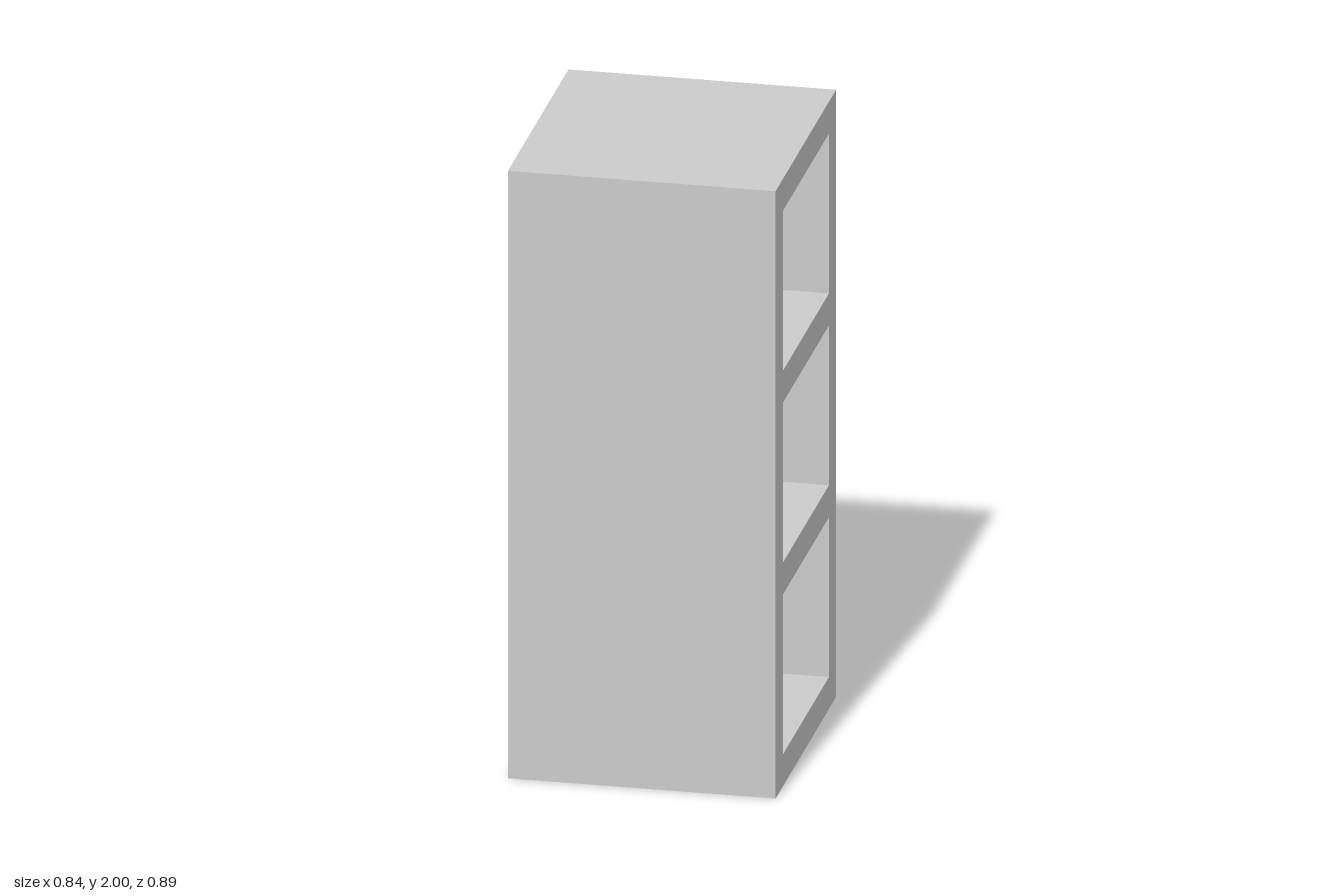
import * as THREE from 'three';

// Upright shelf unit, open from side to side through three equal bays
const HEIGHT = 2, WIDTH = 0.842, DEPTH = 0.895;
const BOARD = 0.1053; // thickness of every panel and shelf
const BAYS = 3;

function rectangle(PathType, x0, y0, x1, y1) {
  return new PathType([
    new THREE.Vector2(x0, y0), new THREE.Vector2(x1, y0),
    new THREE.Vector2(x1, y1), new THREE.Vector2(x0, y1),
  ]);
}

export function createModel() {
  const group = new THREE.Group();
  group.name = 'shelfUnit';

  // Outer outline with one hole per bay
  const outline = rectangle(THREE.Shape, -DEPTH / 2, 0, DEPTH / 2, HEIGHT);
  const opening = (HEIGHT - BOARD * (BAYS + 1)) / BAYS;
  const side = DEPTH / 2 - BOARD;
  for (let i = 0; i < BAYS; i++) {
    const bottom = BOARD + i * (opening + BOARD);
    outline.holes.push(rectangle(THREE.Path, -side, bottom, side, bottom + opening));
  }

  // Extrude across the width, then turn the openings towards the sides
  const geometry = new THREE.ExtrudeGeometry(outline, { depth: WIDTH, bevelEnabled: false });
  geometry.translate(0, 0, -WIDTH / 2);
  geometry.rotateY(Math.PI / 2);

  const frame = new THREE.Mesh(geometry, new THREE.MeshStandardMaterial({ color: 0xcccccc }));
  frame.name = 'shelfFrame';
  group.add(frame);
  return group;
}
